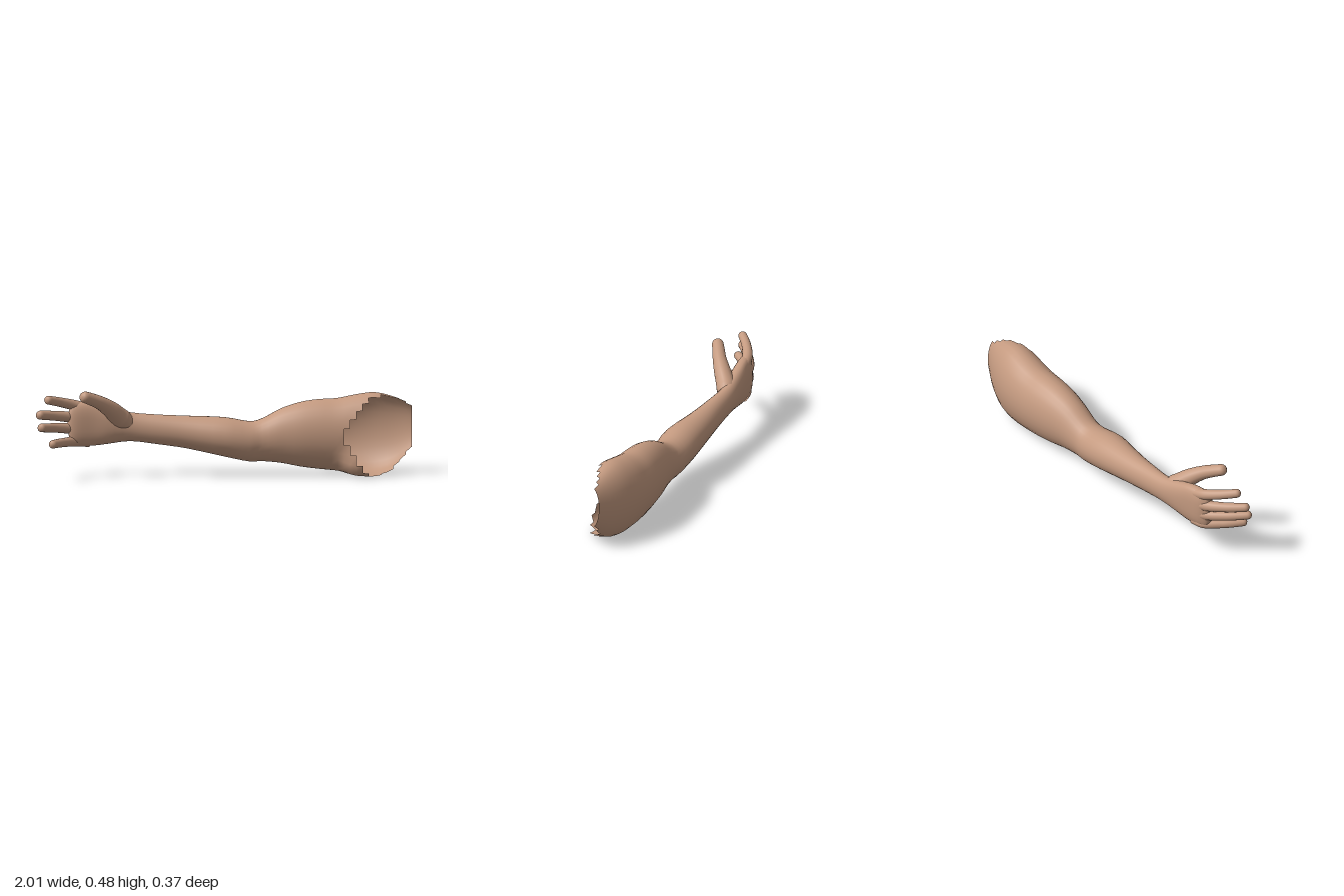
import * as THREE from 'three';
import { mergeVertices } from 'three/addons/utils/BufferGeometryUtils.js';

const skin = new THREE.MeshStandardMaterial({ color: 0xc49a80, side: THREE.DoubleSide });

// limb sections: x, bottom y, top y, back z, front z
const SECTIONS = [
  [-0.835, 0.27, 0.31, 0.0, 0.02],
  [-0.82, 0.19, 0.385, -0.02, 0.035],
  [-0.78, 0.172, 0.405, -0.043, 0.04],
  [-0.7, 0.17, 0.402, -0.06, 0.03],
  [-0.62, 0.178, 0.378, -0.073, 0.025],
  [-0.5, 0.19, 0.345, -0.088, 0.012],
  [-0.35, 0.172, 0.332, -0.1, 0.024],
  [-0.2, 0.15, 0.325, -0.117, 0.042],
  [0, 0.107, 0.318, -0.133, 0.076],
  [0.13, 0.08, 0.296, -0.127, 0.068],
  [0.2, 0.08, 0.31, -0.128, 0.056],
  [0.3, 0.07, 0.362, -0.145, 0.064],
  [0.4, 0.05, 0.395, -0.166, 0.076],
  [0.5, 0.036, 0.41, -0.18, 0.081],
  [0.6, 0.026, 0.415, -0.187, 0.083],
  [0.7, 0.018, 0.435, -0.188, 0.085],
  [0.8, 0.015, 0.447, -0.171, 0.085],
  [0.9, 0.05, 0.425, -0.136, 0.065],
  [1.0, 0.14, 0.385, -0.085, 0.02],
];
const SIDES = 28;
const STEPS = 3;

// forearm, upper arm and palm in one loft, cut slantwise at the shoulder
function limbGeometry() {
  const curve = (f) => new THREE.CatmullRomCurve3(SECTIONS.map(f), false, 'catmullrom', 0.5);
  const mid = curve(([x, b, t, k, f]) => new THREE.Vector3(x, (b + t) / 2, (k + f) / 2));
  const half = curve(([x, b, t, k, f]) => new THREE.Vector3(x, (t - b) / 2, (f - k) / 2));
  const rows = (SECTIONS.length - 1) * STEPS;
  const pos = [], plainZ = [], index = [];
  for (let i = 0; i <= rows; i++) {
    const c = mid.getPoint(i / rows), r = half.getPoint(i / rows);
    // the palm is squarer than the arm
    const power = THREE.MathUtils.lerp(0.78, 1, THREE.MathUtils.smoothstep(c.x, -0.75, -0.5));
    const flare = THREE.MathUtils.smoothstep(c.x, 0.58, 0.7);
    for (let j = 0; j < SIDES; j++) {
      const a = (j / SIDES) * Math.PI * 2;
      const s = Math.sin(a), k = Math.cos(a);
      const y = c.y + r.y * Math.sign(s) * Math.abs(s) ** power;
      const z = c.z + r.z * Math.sign(k) * Math.abs(k) ** power;
      // small flap flaring forward at the lower front of the opening
      const bell = flare * Math.max(0, Math.cos((a - Math.PI * 1.71) * 2.6)) * (s < 0 && k > 0 ? 1 : 0);
      pos.push(c.x, Math.max(0, y - 0.03 * bell), z + 0.06 * bell);
      plainZ.push(z);
    }
  }
  for (let i = 0; i < rows; i++) {
    for (let j = 0; j < SIDES; j++) {
      const j2 = (j + 1) % SIDES;
      const a = i * SIDES + j, b = a + SIDES, c = (i + 1) * SIDES + j2, d = i * SIDES + j2;
      // whole faces are dropped past the slanting cut, leaving a stepped rim
      const x = (pos[a * 3] + pos[b * 3]) / 2;
      const z = (plainZ[a] + plainZ[b] + plainZ[c] + plainZ[d]) / 4;
      if (x < 0.84 - 2.4 * z) index.push(a, b, c, a, c, d);
    }
  }
  // close the knuckle end
  for (let j = 1; j < SIDES - 1; j++) index.push(0, j, j + 1);
  const g = new THREE.BufferGeometry();
  g.setAttribute('position', new THREE.Float32BufferAttribute(pos, 3));
  g.setIndex(index);
  g.computeVertexNormals();
  return g;
}

// tapering tube with a round tip through points [x, y, z, radius]
function fingerGeometry(points) {
  const n = 48, sides = 16;
  const path = new THREE.CatmullRomCurve3(points.map(([x, y, z]) => new THREE.Vector3(x, y, z)));
  const length = path.getLength();
  const g = new THREE.TubeGeometry(path, n, 1, sides, false);
  const p = g.attributes.position, v = new THREE.Vector3();
  for (let i = 0; i <= n; i++) {
    const c = path.getPointAt(i / n);
    const t = path.getUtoTmapping(i / n) * (points.length - 1);
    const k = Math.min(Math.floor(t), points.length - 2);
    let r = THREE.MathUtils.lerp(points[k][3], points[k + 1][3], t - k);
    const left = (1 - i / n) * length;
    if (left < r) r *= Math.sqrt(Math.max(0, 1 - (1 - left / r) ** 2));
    for (let j = 0; j <= sides; j++) {
      const id = i * (sides + 1) + j;
      v.fromBufferAttribute(p, id).sub(c).multiplyScalar(r).add(c);
      p.setXYZ(id, v.x, v.y, v.z);
    }
  }
  g.deleteAttribute('uv');
  g.deleteAttribute('normal');
  const merged = mergeVertices(g, 1e-5);
  merged.computeVertexNormals();
  return merged;
}

export function createModel() {
  const group = new THREE.Group();
  group.name = 'arm';
  const add = (name, geometry) => {
    const mesh = new THREE.Mesh(geometry, skin);
    mesh.name = name;
    group.add(mesh);
  };

  add('armAndPalm', limbGeometry());

  // fingers: base y, tip x, tip y, tip z, radius
  const fingers = {
    indexFinger: [0.375, -0.955, 0.437, 0.12, 0.026],
    middleFinger: [0.318, -1.0, 0.358, 0.145, 0.027],
    ringFinger: [0.258, -0.99, 0.292, 0.168, 0.026],
    littleFinger: [0.2, -0.928, 0.204, 0.183, 0.025],
  };
  for (const [name, [y, tx, ty, tz, r]] of Object.entries(fingers)) {
    const at = (u, z, s) => [THREE.MathUtils.lerp(-0.72, tx, u), THREE.MathUtils.lerp(y - 0.01, ty, u), z, r * s];
    add(name, fingerGeometry([
      at(0, -0.018, 1.1), at(0.33, -0.002, 1.1), at(0.65, tz * 0.36, 0.98), at(0.88, tz * 0.75, 0.92), at(1, tz, 0.88),
    ]));
  }

  // thumb with the fleshy mound at its root
  add('thumb', fingerGeometry([
    [-0.49, 0.275, -0.04, 0.04], [-0.55, 0.315, -0.01, 0.054], [-0.605, 0.37, 0.042, 0.046],
    [-0.66, 0.412, 0.09, 0.037], [-0.715, 0.44, 0.127, 0.033], [-0.77, 0.463, 0.165, 0.03],
  ]));
  return group;
}
